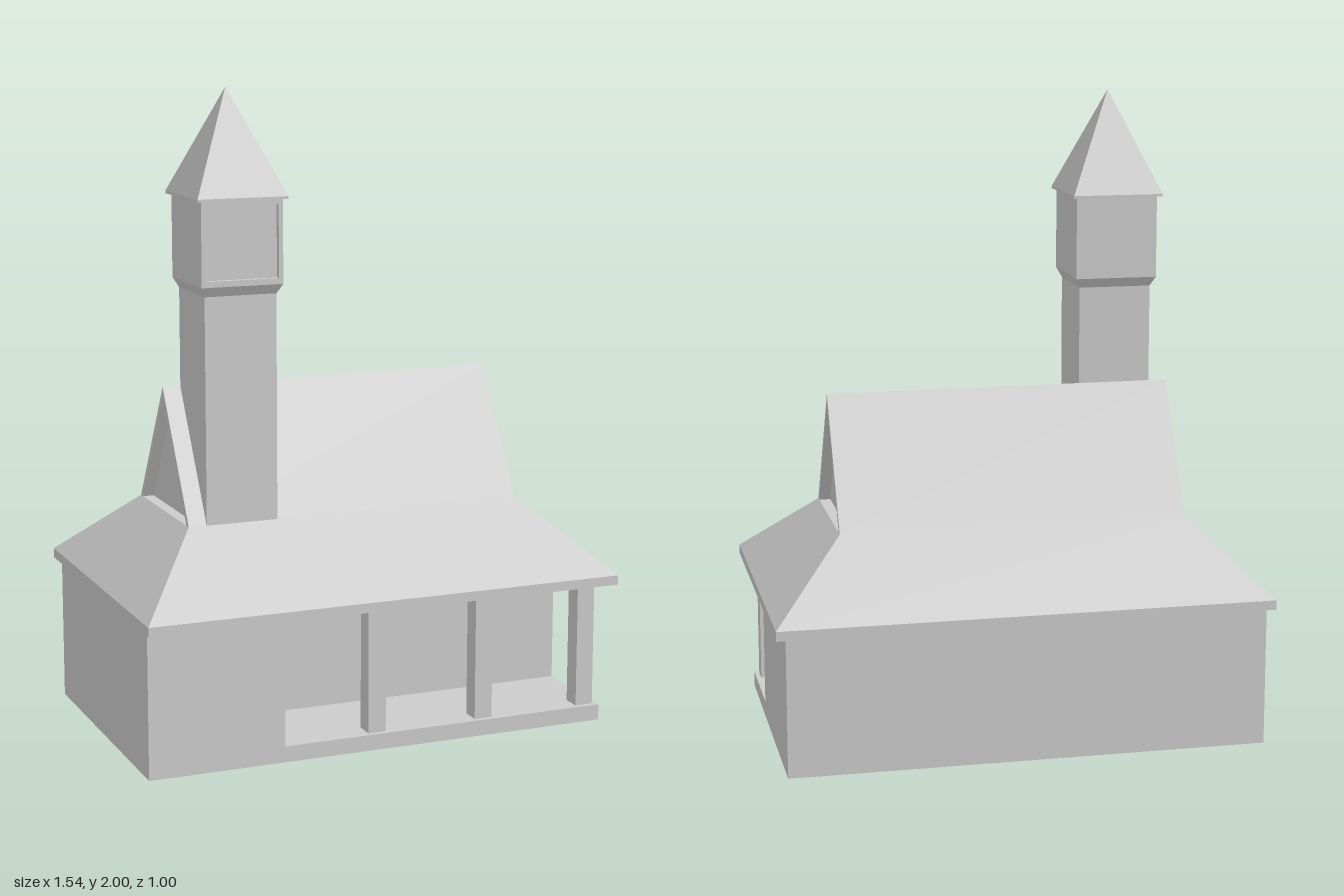
import * as THREE from 'three';

const material = new THREE.MeshStandardMaterial({ color: 0xcccccc, flatShading: true });

// Closed solid through stacked rectangles, each [y, x0, x1, z0, z1]
function loft(rects) {
  const rings = rects.map(([y, x0, x1, z0, z1]) => [[x0, y, z1], [x1, y, z1], [x1, y, z0], [x0, y, z0]]);
  const pos = [];
  const quad = (a, b, c, d) => pos.push(...a, ...b, ...c, ...a, ...c, ...d);
  for (let r = 0; r < rings.length - 1; r++) {
    for (let i = 0; i < 4; i++) {
      const j = (i + 1) % 4;
      quad(rings[r][i], rings[r][j], rings[r + 1][j], rings[r + 1][i]);
    }
  }
  quad(...[...rings[0]].reverse());
  quad(...rings[rings.length - 1]);
  const geo = new THREE.BufferGeometry();
  geo.setAttribute('position', new THREE.Float32BufferAttribute(pos, 3));
  geo.computeVertexNormals();
  return geo;
}

const box = (x0, x1, y0, y1, z0, z1) => loft([[y0, x0, x1, z0, z1], [y1, x0, x1, z0, z1]]);

const shapeOf = (pts) => new THREE.Shape(pts.map(([a, b]) => new THREE.Vector2(a, b)));

// Extrude a [z, y] outline along x
function alongX(pts, x0, x1) {
  const shape = shapeOf(pts.map(([z, y]) => [-z, y]));
  const geo = new THREE.ExtrudeGeometry(shape, { depth: x1 - x0, bevelEnabled: false });
  return geo.rotateY(Math.PI / 2).translate(x0, 0, 0);
}

export function createModel() {
  const model = new THREE.Group();
  const add = (name, geo, parent = model) => {
    const mesh = new THREE.Mesh(geo, material);
    mesh.name = name;
    parent.add(mesh);
  };

  // Floor slab and L-shaped walls around the corner porch
  add('floorSlab', box(-0.76, 0.735, 0, 0.05, -0.44, 0.455));
  const plan = shapeOf([[-0.76, -0.455], [-0.33, -0.455], [-0.33, -0.135], [0.735, -0.135], [0.735, 0.44], [-0.76, 0.44]]);
  add('walls', new THREE.ExtrudeGeometry(plan, { depth: 0.4, bevelEnabled: false })
    .rotateX(-Math.PI / 2).translate(0, 0.05, 0));

  // Porch posts
  const posts = new THREE.Group();
  posts.name = 'porchPosts';
  for (const x of [-0.052, 0.308, 0.662]) add('porchPost', box(x, x + 0.058, 0.05, 0.45, 0.378, 0.438), posts);
  model.add(posts);

  // Lower hipped roof with its eave edge
  add('hippedRoof', loft([
    [0.45, -0.77, 0.77, -0.5, 0.5],
    [0.48, -0.77, 0.77, -0.5, 0.5],
    [0.695, -0.55, 0.54, -0.243, 0.225],
  ]));

  // Upper gabled roof with recessed gable walls
  add('gableRoof', alongX([[0.225, 0.695], [-0.009, 1.085], [-0.243, 0.695],
    [-0.221, 0.695], [-0.009, 1.05], [0.203, 0.695]], -0.55, 0.54));
  add('gableWalls', alongX([[0.21, 0.695], [-0.009, 1.06], [-0.228, 0.695]], -0.515, 0.505));

  // Tower shaft, flaring into the belfry
  add('towerShaft', box(-0.493, -0.265, 0.695, 1.4, -0.008, 0.226));
  add('belfry', loft([
    [1.39, -0.493, -0.265, -0.008, 0.226],
    [1.42, -0.508, -0.25, -0.026, 0.228],
    [1.68, -0.508, -0.25, -0.026, 0.228],
  ]));

  // Raised frame around the front belfry panel
  const frame = shapeOf([[-0.508, 1.42], [-0.25, 1.42], [-0.25, 1.68], [-0.508, 1.68]]);
  frame.holes.push(shapeOf([[-0.496, 1.438], [-0.496, 1.66], [-0.264, 1.66], [-0.264, 1.438]]));
  add('belfryFrame', new THREE.ExtrudeGeometry(frame, { depth: 0.017, bevelEnabled: false }).translate(0, 0, 0.228));
  add('belfryCorbel', loft([
    [1.39, -0.493, -0.265, 0.1, 0.226],
    [1.42, -0.508, -0.25, 0.1, 0.245],
  ]));

  // Pyramid spire
  add('spire', loft([
    [1.675, -0.522, -0.237, -0.042, 0.256],
    [1.683, -0.522, -0.237, -0.042, 0.256],
    [2, -0.38, -0.38, 0.107, 0.107],
  ]));

  return model;
}
